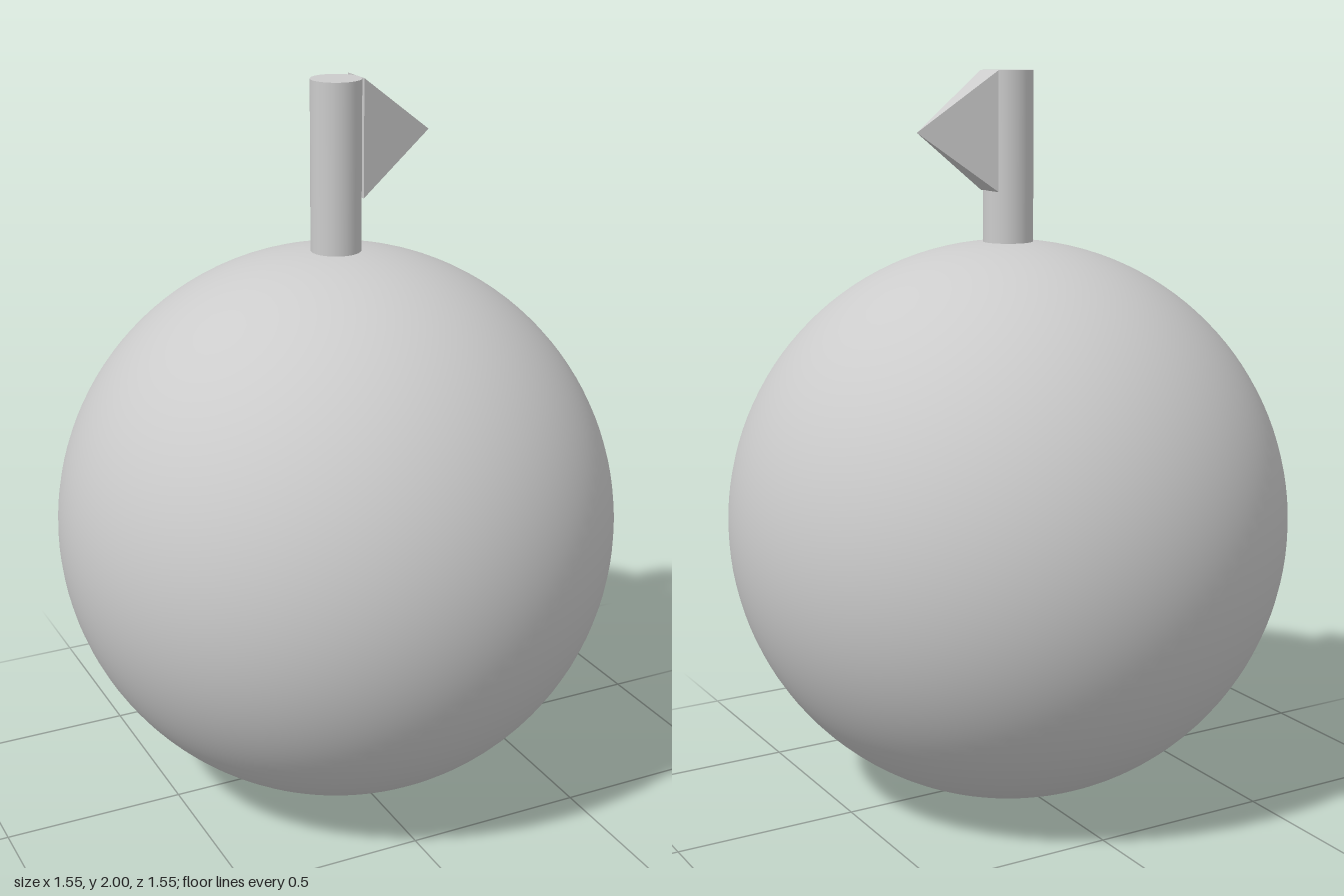
import * as THREE from 'three';

const smooth = new THREE.MeshStandardMaterial({ color: 0xcccccc });
const faceted = new THREE.MeshStandardMaterial({ color: 0xcccccc, flatShading: true });

function addPart(group, name, geometry, material, x, y, z) {
  const mesh = new THREE.Mesh(geometry, material);
  mesh.name = name;
  mesh.position.set(x, y, z);
  group.add(mesh);
  return mesh;
}

export function createModel() {
  const group = new THREE.Group();
  group.name = 'ballWithFlag';

  // Large round body resting on the ground
  const radius = 0.774;
  addPart(group, 'ball', new THREE.SphereGeometry(radius, 96, 64), smooth, 0, radius, 0);

  // Pole standing on top, sunk slightly into the ball
  const poleBottom = 1.5;
  const poleHeight = 2 - poleBottom;
  addPart(group, 'pole', new THREE.CylinderGeometry(0.068, 0.068, poleHeight, 48),
    smooth, 0, poleBottom + poleHeight / 2, 0);

  // Pennant: a four-sided pyramid on its side, its tip pointing to +x
  const pennant = new THREE.ConeGeometry(Math.SQRT1_2, 1, 4, 1, false, Math.PI / 4);
  pennant.rotateZ(-Math.PI / 2);
  pennant.scale(0.217, 0.316, 0.096);
  addPart(group, 'pennant', pennant, faceted, 0.067 + 0.217 / 2, 1.842, -0.018);

  return group;
}
